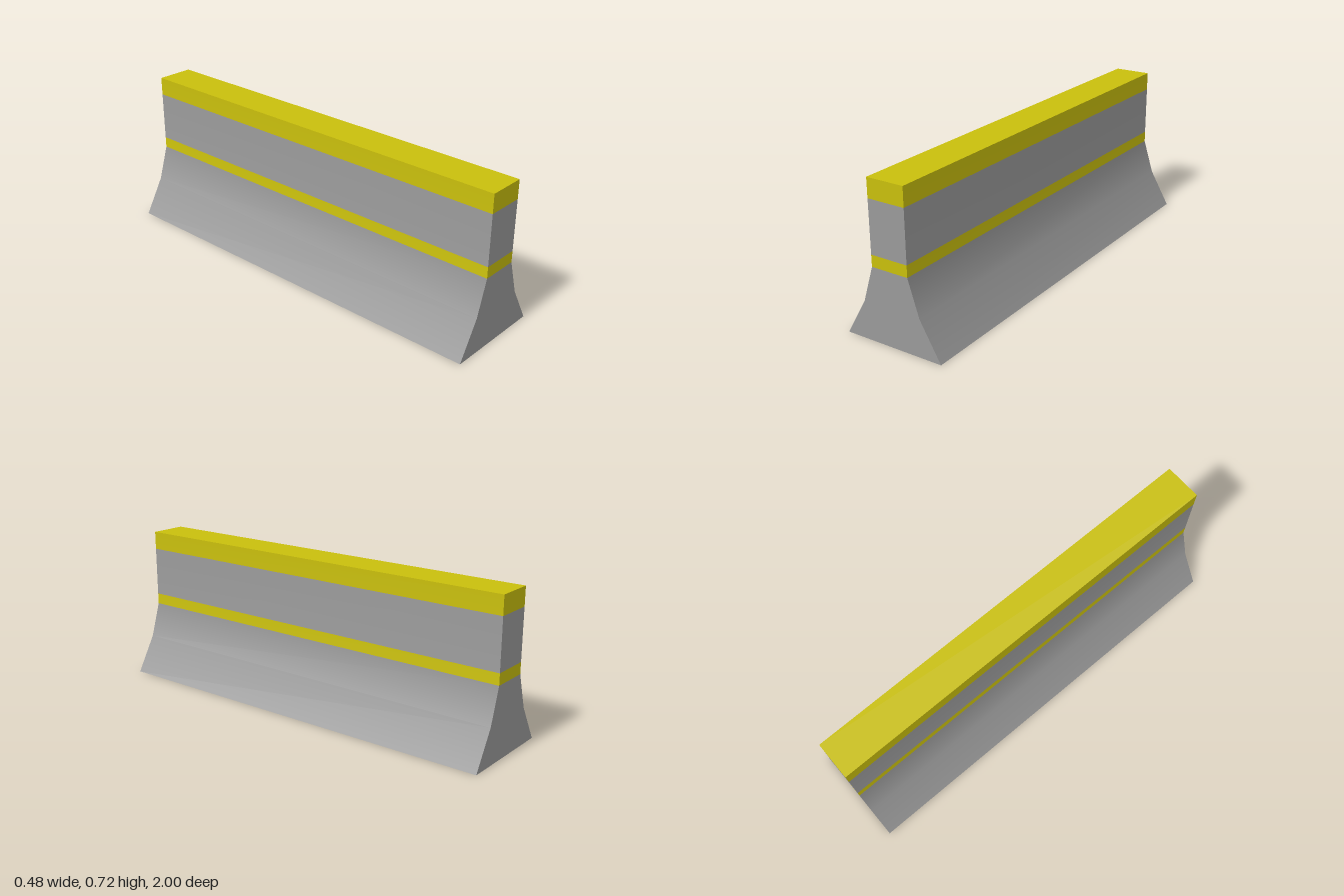
import * as THREE from 'three';

const concrete = new THREE.MeshStandardMaterial({ name: 'concreteGrey', color: 0x9a9a9a, side: THREE.DoubleSide });
const paint = new THREE.MeshStandardMaterial({ name: 'yellowPaint', color: 0xc9bf0c, side: THREE.DoubleSide });

// Half profile rows: height, half width, upward tilt of the surface normal (radians)
const foot = [0, 0.241, 0.527];
const knee = [0.172, 0.142, 0.41];
const neck = [0.337, 0.09, 0.09];
const lowStripe = [0.39, 0.09, 0.077];
const highStripe = [0.628, 0.09, 0.02];
const crown = [0.716, 0.09, 0];

// Side walls and end faces between successive profile rows; the base stays open
function band(name, rows, material) {
  const pos = [], nor = [], index = [];
  const quad = (corners, normals) => {
    const n = pos.length / 3;
    corners.forEach(c => pos.push(...c));
    normals.forEach(v => nor.push(...v));
    index.push(n, n + 1, n + 2, n, n + 2, n + 3);
  };
  for (let i = 0; i < rows.length - 1; i++) {
    const [y0, w0, t0] = rows[i];
    const [y1, w1, t1] = rows[i + 1];
    for (const s of [1, -1]) {
      const low = [s * Math.cos(t0), Math.sin(t0), 0];
      const high = [s * Math.cos(t1), Math.sin(t1), 0];
      // long side
      quad([[s * w0, y0, s], [s * w0, y0, -s], [s * w1, y1, -s], [s * w1, y1, s]], [low, low, high, high]);
      // end face
      quad([[-s * w0, y0, s], [s * w0, y0, s], [s * w1, y1, s], [-s * w1, y1, s]], Array(4).fill([0, 0, s]));
    }
  }
  const geometry = new THREE.BufferGeometry();
  geometry.setAttribute('position', new THREE.Float32BufferAttribute(pos, 3));
  geometry.setAttribute('normal', new THREE.Float32BufferAttribute(nor, 3));
  geometry.setIndex(index);
  const mesh = new THREE.Mesh(geometry, material);
  mesh.name = name;
  return mesh;
}

export function createModel() {
  const barrier = new THREE.Group();
  barrier.name = 'roadBarrier';
  barrier.add(
    band('flaredBase', [foot, knee, neck], concrete),
    band('lowerStripe', [neck, lowStripe], paint),
    band('wall', [lowStripe, highStripe], concrete),
    band('upperStripe', [highStripe, crown], paint)
  );

  // Painted top
  const top = new THREE.Mesh(new THREE.PlaneGeometry(2 * crown[1], 2).rotateX(-Math.PI / 2), paint);
  top.name = 'topFace';
  top.position.y = crown[0];
  barrier.add(top);
  return barrier;
}
